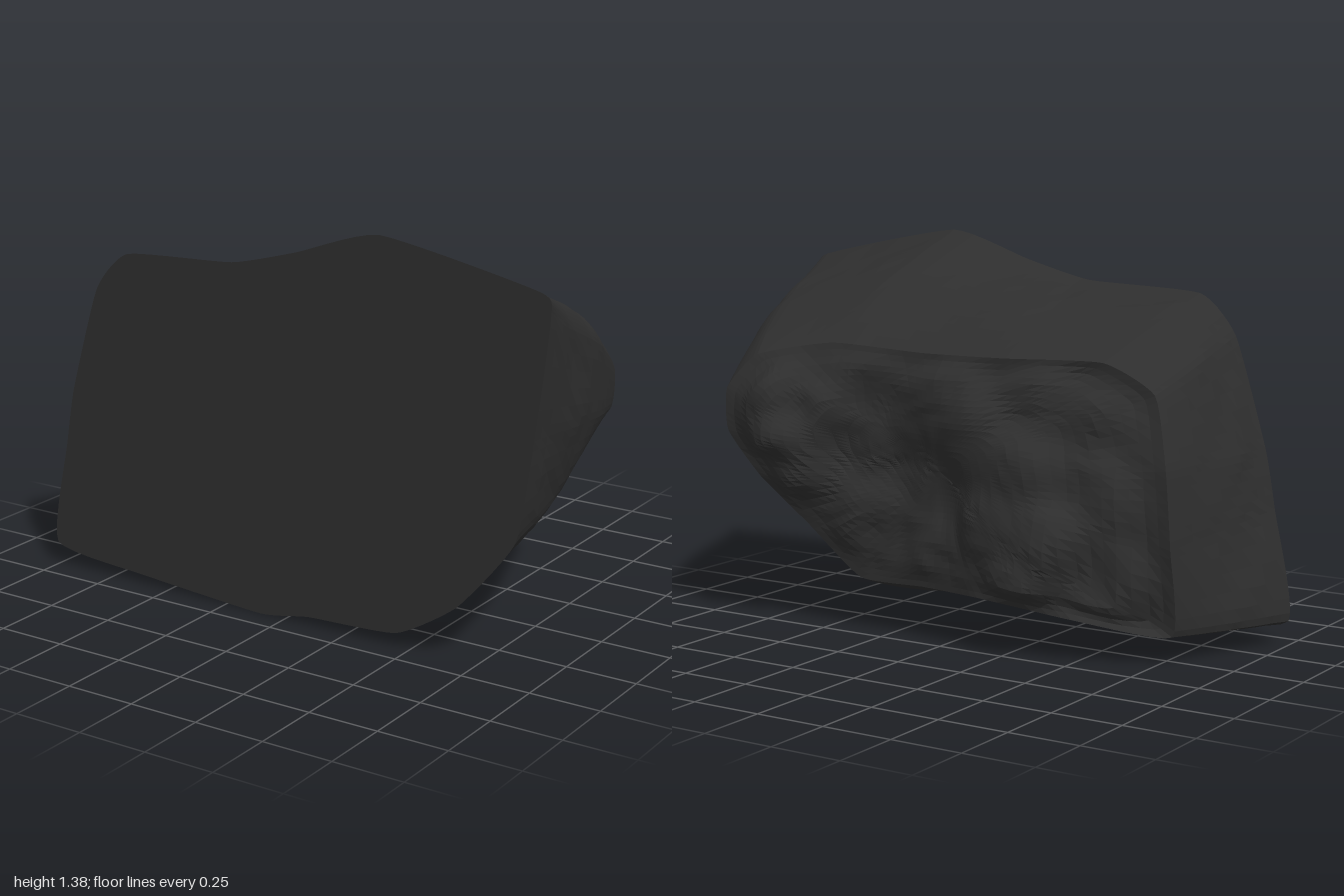
import * as THREE from 'three';

// Outline of the flat front face, anticlockwise from its lower left corner
const FACE = [
  [-1, 0.085], [-0.6, 0.035], [-0.1, 0.0], [0.1, 0.03], [0.45, 0.05], [0.68, 0.19],
  [0.89, 0.45], [0.95, 0.8], [0.997, 1.2], [0.96, 1.275], [0.38, 1.385], [0.06, 1.29],
  [-0.2, 1.225], [-0.64, 1.2], [-0.78, 1.06], [-0.9, 0.68], [-0.94, 0.47],
];
// Edge where the sides turn into the back
const RIM = [
  [-0.8, 0.1, -0.06], [-0.5, 0.15, -0.21], [-0.15, 0.19, -0.25], [0.1, 0.19, -0.21],
  [0.37, 0.19, -0.2], [0.56, 0.37, -0.25], [0.71, 0.54, -0.33], [0.83, 0.7, -0.36],
  [0.84, 0.85, -0.35], [0.74, 0.97, -0.3], [0.47, 1.02, -0.22], [0.12, 1.0, -0.17],
  [-0.2, 1.0, -0.15], [-0.54, 1.0, -0.08], [-0.72, 0.9, -0.05], [-0.79, 0.66, -0.1],
  [-0.81, 0.4, -0.1],
];
// Humps and hollows of the back
const BACK = [
  [0.63, 0.7, -0.43], [0.67, 0.83, -0.41], [0.75, 0.75, -0.4], [0.6, 0.57, -0.36],
  [0.5, 0.82, -0.33], [0.45, 0.93, -0.26], [0.3, 0.85, -0.2], [0.35, 0.65, -0.22],
  [0.42, 0.42, -0.26], [0.2, 0.6, -0.17], [0.25, 0.35, -0.2], [0.05, 0.9, -0.23],
  [-0.1, 0.78, -0.25], [0.05, 0.5, -0.2], [0.05, 0.3, -0.23], [-0.28, 0.64, -0.27],
  [-0.2, 0.42, -0.29], [-0.3, 0.25, -0.32], [-0.38, 0.4, -0.3], [-0.3, 0.88, -0.18],
  [-0.5, 0.8, -0.14], [-0.55, 0.6, -0.18], [-0.6, 0.3, -0.17], [-0.65, 0.75, -0.11],
];
const FRONT_Z = 0.414;
const CENTRE = new THREE.Vector3(0.03, 0.6, -0.2);
const AROUND = 119, SIDE_ROWS = 14, BACK_ROWS = 20, ROWS = SIDE_ROWS + BACK_ROWS;

const loop = (pts) => new THREE.CatmullRomCurve3(
  pts.map(([x, y, z = FRONT_Z]) => new THREE.Vector3(x, y, z)), true, 'catmullrom', 0.25);

// Depth of the back, blended from the nearby humps and hollows
function backDepth(x, y) {
  let sum = 0, total = 0;
  for (const [px, py, pz] of [...BACK, ...RIM]) {
    const w = 1 / ((x - px) ** 2 + (y - py) ** 2 + 0.004) ** 2;
    sum += w * pz;
    total += w;
  }
  return sum / total;
}

// Layered waves give the stone its chipped relief
function relief(p) {
  const a = Math.sin(p.x * 9 + p.y * 13 + Math.sin(p.z * 11 + p.x * 7) * 2);
  const b = Math.sin(p.x * 21 - p.y * 17 + p.z * 19 + a * 1.5);
  const c = Math.sin(p.x * 33 + p.y * 37 - p.z * 31 + b * 2);
  return a * 0.005 + b * 0.003 + c * 0.002;
}

function createBody(face, rim) {
  const positions = [], index = [];
  for (let i = 0; i < AROUND; i++) {
    const f = face.getPoint(i / AROUND), r = rim.getPoint(i / AROUND);
    const outward = f.clone().lerp(r, 0.5).sub(CENTRE).setZ(0).normalize();
    // The top and the right-hand side swell a little
    const swelling = 0.04 * Math.max(0, outward.y, outward.x);
    for (let j = 0; j <= ROWS; j++) {
      const p = new THREE.Vector3();
      if (j <= SIDE_ROWS) {
        // Sides run from the front edge to the rim
        const s = j / SIDE_ROWS;
        p.lerpVectors(f, r, s);
        const swell = swelling * Math.sin(Math.PI * s ** 1.3);
        p.addScaledVector(outward, swell + relief(p) * Math.min(1, s * 4) * (1 - s));
      } else {
        // Back closes in on the centre
        const s = (j - SIDE_ROWS) / BACK_ROWS;
        p.lerpVectors(r, CENTRE, s);
        const blend = THREE.MathUtils.smoothstep(s, 0, 0.2);
        p.z = THREE.MathUtils.lerp(r.z, backDepth(p.x, p.y), blend) - relief(p) * blend;
      }
      positions.push(p.x, p.y, p.z);
    }
  }
  const row = ROWS + 1;
  for (let i = 0; i < AROUND; i++) {
    const n = (i + 1) % AROUND;
    for (let j = 0; j < ROWS; j++) {
      const a = i * row + j, b = n * row + j;
      index.push(a, a + 1, b);
      if (j < ROWS - 1) index.push(b, a + 1, b + 1);
    }
  }
  const geometry = new THREE.BufferGeometry();
  geometry.setAttribute('position', new THREE.Float32BufferAttribute(positions, 3));
  geometry.setIndex(index);
  geometry.computeVertexNormals();
  return geometry;
}

export function createModel() {
  const group = new THREE.Group();
  group.name = 'rock';
  const material = new THREE.MeshStandardMaterial({ color: 0x2e2e2e, flatShading: true });
  const face = loop(FACE);

  // Rough sides and back
  const body = new THREE.Mesh(createBody(face, loop(RIM)), material);
  body.name = 'roughBody';
  group.add(body);

  // Flat cut face
  const outline = [];
  for (let i = 0; i < AROUND; i++) {
    const p = face.getPoint(i / AROUND);
    outline.push(new THREE.Vector2(p.x, p.y));
  }
  const cut = new THREE.Mesh(new THREE.ShapeGeometry(new THREE.Shape(outline)), material);
  cut.name = 'flatFace';
  cut.position.z = FRONT_Z;
  group.add(cut);

  return group;
}
